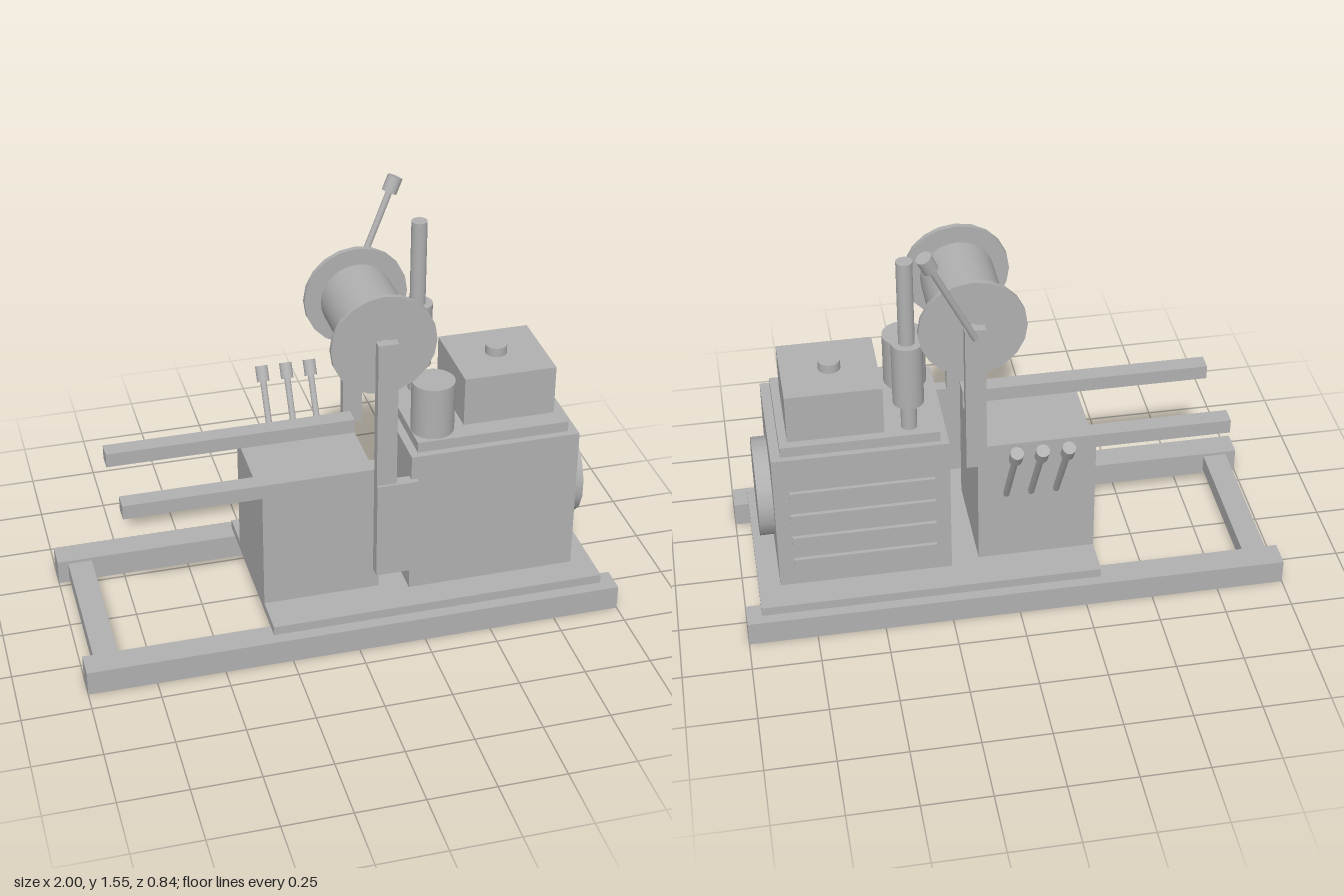
import * as THREE from 'three';

export function createModel() {
  const model = new THREE.Group();
  model.name = 'winchUnit';
  const grey = new THREE.MeshStandardMaterial({ color: 0xb0b0b0 });
  grey.name = 'machine grey';

  function add(name, geometry) {
    const mesh = new THREE.Mesh(geometry, grey);
    mesh.name = name;
    model.add(mesh);
    return mesh;
  }

  // Box given by its limits on each axis
  function box(name, x0, x1, y0, y1, z0, z1) {
    const mesh = add(name, new THREE.BoxGeometry(x1 - x0, y1 - y0, z1 - z0));
    mesh.position.set((x0 + x1) / 2, (y0 + y1) / 2, (z0 + z1) / 2);
    return mesh;
  }

  // Cylinder running between two points
  function rod(name, from, to, radius, sides = 24) {
    const a = new THREE.Vector3(...from);
    const b = new THREE.Vector3(...to);
    const dir = b.clone().sub(a);
    const mesh = add(name, new THREE.CylinderGeometry(radius, radius, dir.length(), sides));
    mesh.position.copy(a).add(b).multiplyScalar(0.5);
    mesh.quaternion.setFromUnitVectors(new THREE.Vector3(0, 1, 0), dir.normalize());
    return mesh;
  }

  // Lever with a thick round grip centred on its end
  function lever(name, from, to, gripRadius) {
    const a = new THREE.Vector3(...from);
    const b = new THREE.Vector3(...to);
    const half = b.clone().sub(a).setLength(0.03);
    rod(name, from, to, 0.012, 12);
    rod(name + 'Grip', b.clone().sub(half).toArray(), b.clone().add(half).toArray(), gripRadius, 16);
  }

  // Skid frame and base plate
  box('frontSkid', -1, 1, 0, 0.095, 0.32, 0.42);
  box('backSkid', -1, 1, 0, 0.095, -0.37, -0.27);
  for (const x of [-0.915, 0.29]) box('skidCrossbar', x - 0.045, x + 0.045, 0.018, 0.083, -0.27, 0.32);
  box('basePlate', -0.31, 0.945, 0.095, 0.13, -0.33, 0.375);

  // Gearbox with two long beams on top
  box('gearbox', -0.31, 0.125, 0.13, 0.59, -0.185, 0.225);
  box('frontBeam', -0.81, 0.125, 0.59, 0.645, 0.16, 0.225);
  box('backBeam', -0.81, 0.125, 0.59, 0.645, -0.185, -0.12);

  // Engine housing, lid, tank and filler cap
  box('engineHousing', 0.23, 0.865, 0.13, 0.7, -0.215, 0.265);
  box('engineLid', 0.26, 0.83, 0.7, 0.74, -0.193, 0.238);
  box('fuelTank', 0.455, 0.8, 0.74, 0.93, -0.16, 0.163);
  rod('fillerCap', [0.625, 0.93, 0], [0.625, 0.965, 0], 0.04);

  // Cooling louvers on the back
  for (let i = 0; i < 4; i++) {
    const y = 0.233 + i * 0.102;
    box('louver', 0.285, 0.81, y - 0.02, y + 0.02, -0.23, -0.215);
  }

  // Fan cover on the left end
  const fan = add('fanCover', new THREE.CylinderGeometry(0.182, 0.182, 0.055, 16).rotateY(Math.PI / 16));
  fan.rotation.z = -Math.PI / 2;
  fan.position.set(0.893, 0.413, 0.025);

  // Air filter and exhaust
  rod('airFilter', [0.34, 0.74, 0.15], [0.34, 0.94, 0.15], 0.079);
  rod('exhaustPipe', [0.363, 0.74, -0.135], [0.363, 1.43, -0.135], 0.029);
  rod('muffler', [0.363, 0.85, -0.135], [0.363, 1.1, -0.135], 0.056);

  // Drum posts and side panel
  box('frontPost', 0.098, 0.172, 0.59, 1.18, 0.24, 0.275);
  box('backPost', 0.098, 0.172, 0.59, 1.18, -0.225, -0.19);
  box('sidePanel', 0.098, 0.252, 0.222, 0.607, 0.24, 0.285);

  // Winch drum
  const drumPart = (name, z0, z1, radius, sides) =>
    rod(name, [0.135, 1.148, z0], [0.135, 1.148, z1], radius, sides);
  drumPart('drumShaft', -0.21, 0.26, 0.025, 16);
  drumPart('drumCore', -0.15, 0.2, 0.103, 24);
  drumPart('woundCable', -0.14, 0.185, 0.134, 28);
  drumPart('frontFlange', 0.2, 0.22, 0.192, 20);
  drumPart('backFlange', -0.17, -0.15, 0.192, 20);

  // Brake lever and three control levers
  lever('brakeLever', [0.135, 1.145, -0.222], [0.305, 1.51, -0.288], 0.028);
  for (const x of [-0.165, -0.072, 0.02]) {
    lever('controlLever', [x, 0.415, -0.18], [x, 0.74, -0.38], 0.024);
  }
  return model;
}
